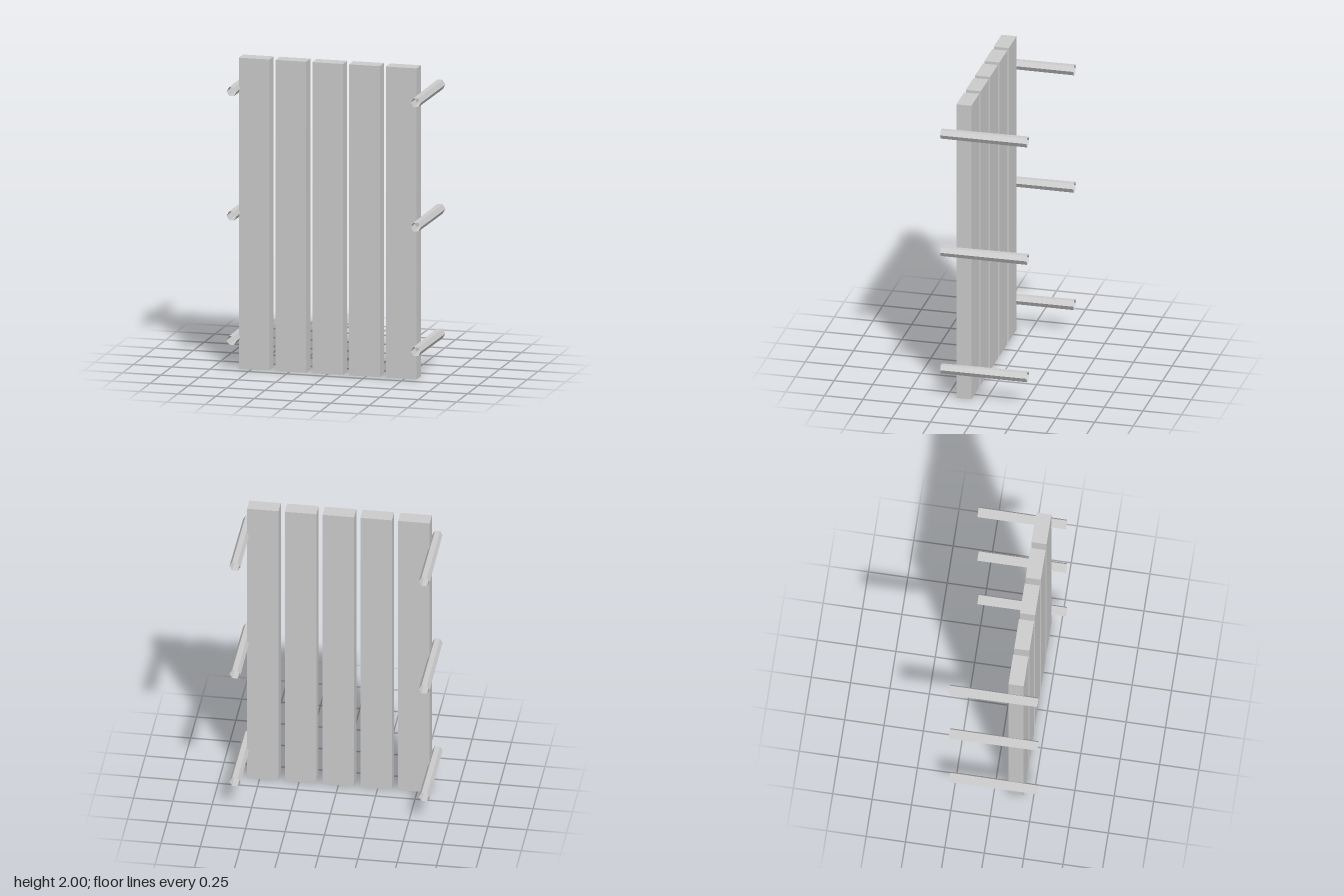
import * as THREE from 'three';

export function createModel() {
  const model = new THREE.Group();
  model.name = 'plankPanel';
  const wood = new THREE.MeshStandardMaterial({ color: 0xcccccc, flatShading: true });
  const pipe = new THREE.MeshStandardMaterial({ color: 0xcccccc, flatShading: true, side: THREE.DoubleSide });

  // Five upright planks with narrow gaps
  const plankGeometry = new THREE.BoxGeometry(0.2, 2, 0.097);
  for (let i = -2; i <= 2; i++) {
    const plank = new THREE.Mesh(plankGeometry, wood);
    plank.name = `plank${i + 3}`;
    plank.position.set(i * 0.24, 1, 0.139);
    model.add(plank);
  }

  // Open six-sided rods along z, slightly thinner at the front
  const rodGeometry = new THREE.CylinderGeometry(0.032, 0.035, 0.56, 6, 1, true, Math.PI / 2);
  rodGeometry.rotateX(Math.PI / 2);
  for (const [side, x] of [['left', 0.601], ['right', -0.601]]) {
    [0.2, 1, 1.8].forEach((y, i) => {
      const rod = new THREE.Mesh(rodGeometry, pipe);
      rod.name = `${side}Rod${i + 1}`;
      rod.position.set(x, y, 0);
      model.add(rod);
    });
  }
  return model;
}
